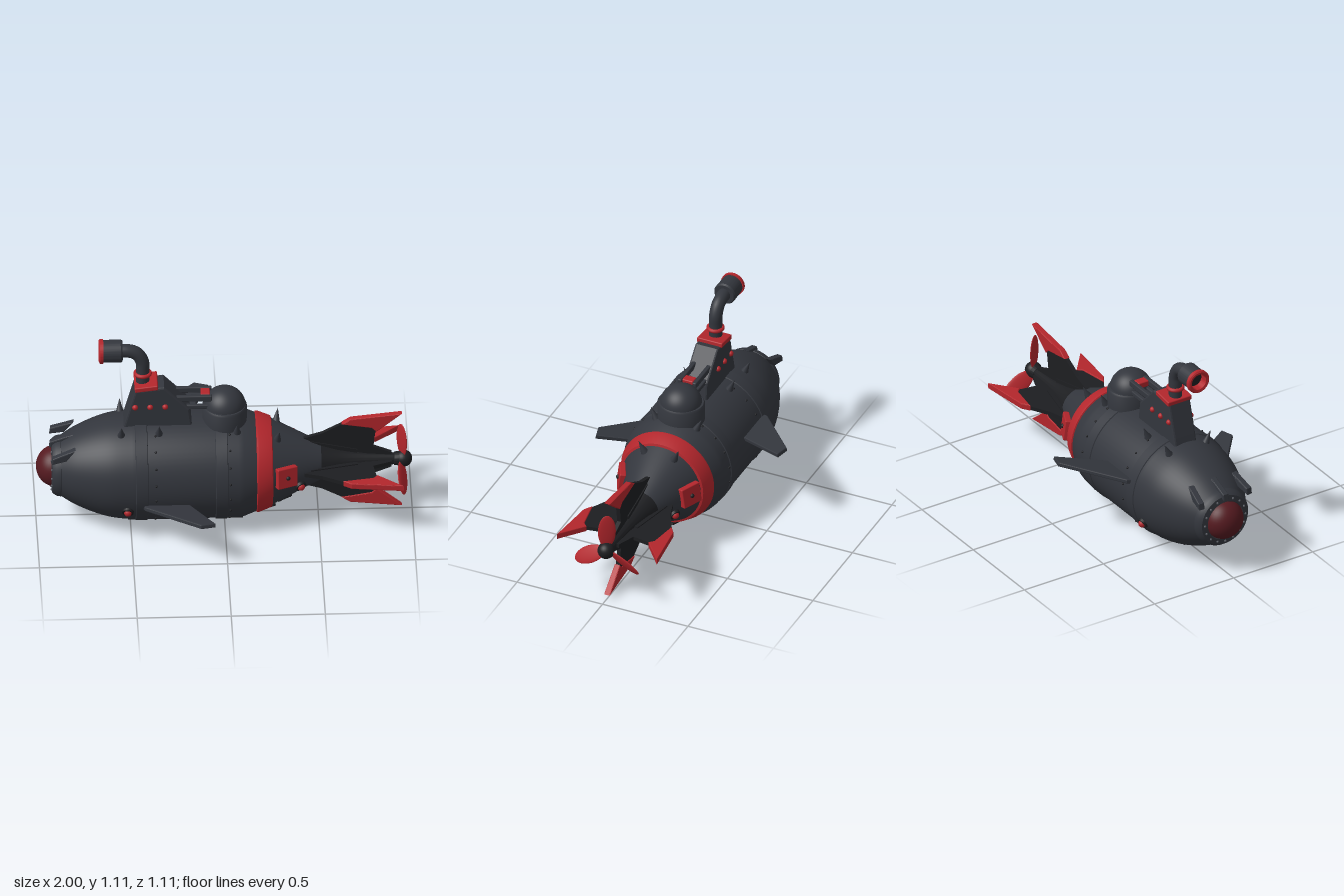
import * as THREE from 'three';
import { RoundedBoxGeometry } from 'three/addons/geometries/RoundedBoxGeometry.js';
import { toCreasedNormals } from 'three/addons/utils/BufferGeometryUtils.js';

const paint = (color, side = THREE.FrontSide) => new THREE.MeshStandardMaterial({ color, side });
const dark = paint(0x33363d), black = paint(0x1d1e21), red = paint(0xb3262c), glass = paint(0x551a20);
const steel = paint(0x55585f), darkOpen = paint(0x33363d, THREE.DoubleSide);
const AXIS = 0.325;

function add(parent, name, geo, mat, x = 0, y = 0, z = 0) {
  const m = new THREE.Mesh(geo, mat);
  m.name = name;
  m.position.set(x, y, z);
  parent.add(m);
  return m;
}

// solid of revolution about the x axis, from [x, radius] pairs
function turned(pairs, crease = 0.5) {
  const g = new THREE.LatheGeometry(pairs.map(([x, r]) => new THREE.Vector2(r, x)), 64);
  g.rotateZ(-Math.PI / 2);
  return toCreasedNormals(g, crease);
}

// flat plate in the xy plane, centred on z = 0
function plate(points, depth, bevel = 0) {
  const shape = new THREE.Shape(points.map(p => new THREE.Vector2(...p)));
  const g = new THREE.ExtrudeGeometry(shape, { depth: depth - 2 * bevel, bevelEnabled: bevel > 0,
    bevelSize: bevel, bevelThickness: bevel, bevelOffset: -bevel, bevelSegments: 2 });
  return g.translate(0, 0, -depth / 2 + bevel);
}

// radius of the hull at x
const TAPER = [[-0.88, 0.155], [-0.8, 0.205], [-0.7, 0.25], [-0.6, 0.28], [-0.48, 0.295], [0.08, 0.295],
  [0.17, 0.262], [0.25, 0.232], [0.44, 0.137], [0.52, 0.1]];
function hullRadius(x) {
  const i = Math.max(1, TAPER.findIndex(p => p[0] >= x));
  const [a, b] = [TAPER[i - 1], TAPER[i]];
  return a[1] + (b[1] - a[1]) * (x - a[0]) / (b[0] - a[0]);
}

// group on the hull surface: local y points outward, angle measured from the top towards +z
function onHull(parent, name, x, angle, lift = 0) {
  const g = new THREE.Group(), slope = (hullRadius(x + 0.02) - hullRadius(x - 0.02)) / 0.04;
  const r = hullRadius(x) + lift;
  g.name = name;
  g.position.set(x, r * Math.cos(angle), r * Math.sin(angle));
  g.rotation.set(angle, 0, Math.atan(slope));
  parent.add(g);
  return g;
}

function buildHull(h) {
  const nose = new THREE.SplineCurve(TAPER.slice(0, 5).map(p => new THREE.Vector2(...p))).getPoints(20);
  add(h, 'hull', turned([...nose.map(p => [p.x, p.y]), [0.07, 0.295], [0.1, 0.29], ...TAPER.slice(6)], 0.35), dark);
  add(h, 'tailCone', turned([[0.51, 0.104], [0.6, 0.075], [0.75, 0.045], [0.94, 0.028]]), black);
  for (const x of [-0.445, -0.02])
    add(h, 'hullBand', turned([[x - 0.036, 0.29], [x - 0.03, 0.3], [x + 0.03, 0.3], [x + 0.036, 0.29]], 1), dark);
  add(h, 'redBand', turned([[0.165, 0.26], [0.17, 0.27], [0.18, 0.27], [0.25, 0.243], [0.255, 0.225]]), red);

  // window and its bolted frame
  add(h, 'noseRing', turned([[-0.905, 0.1], [-0.92, 0.112], [-0.915, 0.145], [-0.895, 0.16], [-0.87, 0.165],
    [-0.86, 0.155]]), dark);
  add(h, 'noseWindow', new THREE.SphereGeometry(1, 40, 24), glass, -0.9).scale.set(0.1, 0.11, 0.11);
  for (let i = 0; i < 16; i++) {
    const a = i / 16 * Math.PI * 2;
    add(h, 'frameBolt', new THREE.SphereGeometry(0.007, 8, 6), steel, -0.918, 0.128 * Math.cos(a), 0.128 * Math.sin(a));
  }
  // three-fingered hood above the window
  for (const z of [-0.04, 0, 0.04]) {
    const f = add(h, 'noseHood', plate([[-0.93, 0.125], [-0.925, 0.16], [-0.85, 0.187], [-0.8, 0.205],
      [-0.85, 0.14]], 0.036, 0.006), dark, 0, z ? -0.012 : 0, z);
    f.rotation.y = z * 3;
  }

  // rivet rows and spikes
  for (const x of [-0.37, 0.025])
    for (let i = 0; i < 20; i++)
      add(onHull(h, 'hullRivet', x, (i + 0.5) / 20 * Math.PI * 2), 'rivetHead', new THREE.SphereGeometry(0.007, 8, 6), black);
  for (const x of [-0.55, -0.35, 0.065, 0.28])
    for (const s of [-1, 1]) {
      const g = onHull(h, 'spike', x, s * 0.42);
      g.rotation.z = x > 0.2 ? -0.15 : 0;
      add(g, 'spikeCone', new THREE.ConeGeometry(0.024, 0.085, 20), dark, 0, 0.028);
    }

  for (const s of [-1, 1]) {
    // bolted side hatches
    const hatch = onHull(h, 'sideHatch', 0.325, s * 1.43, 0.008);
    add(hatch, 'hatchPlate', new RoundedBoxGeometry(0.12, 0.035, 0.115, 2, 0.006), red);
    add(hatch, 'hatchBolt', new THREE.SphereGeometry(0.012, 12, 8), black, 0, 0.018);
    // red side lamps
    for (const [x, a] of [[-0.52, 2.03], [0.4, 2.0]]) {
      const lamp = onHull(h, 'sideLamp', x, s * a);
      add(lamp, 'lampRim', new THREE.CylinderGeometry(0.03, 0.032, 0.02, 20), black, 0, 0.002);
      add(lamp, 'lampGlass', new THREE.SphereGeometry(0.021, 16, 12), red, 0, 0.009);
    }
  }

  // studded keel plates
  for (let i = 0; i < 11; i++) {
    const x = -0.56 + i * 0.088, k = onHull(h, 'keel', x, Math.PI, 0.006);
    add(k, 'keelPlate', new THREE.BoxGeometry(0.082, 0.012, i % 2 ? 0.15 : 0.11), black);
    for (const dx of [-0.028, 0.028])
      for (const dz of [-0.042, 0.042])
        add(k, 'keelStud', new THREE.SphereGeometry(0.009, 8, 6), steel, dx, 0.006, dz);
  }
}

function buildFins(h) {
  // swept diving planes, staggered in height
  for (const [s, y] of [[1, 0.184], [-1, 0.364]]) {
    const fin = add(h, 'divingPlane', plate([[-0.45, 0.25], [-0.43, 0.31], [-0.14, 0.56], [-0.065, 0.54],
      [-0.19, 0.29], [-0.19, 0.25]], 0.024, 0.005), dark, 0, y - AXIS, 0);
    fin.rotation.x = s * (Math.PI / 2 - 0.17);
  }
  // cross of tail fins with red tips
  for (let i = 0; i < 4; i++) {
    const g = new THREE.Group();
    g.name = 'tailFin';
    g.rotation.x = i * Math.PI / 2;
    h.add(g);
    add(g, 'finBlade', plate([[0.42, 0.02], [0.42, 0.145], [0.52, 0.175], [0.66, 0.25], [0.82, 0.21], [0.805, 0.18],
      [0.79, 0.085], [0.89, 0.045], [0.89, 0.01]], 0.022), black);
    add(g, 'finTip', plate([[0.625, 0.232], [0.67, 0.263], [0.945, 0.292], [0.81, 0.18], [0.785, 0.205]], 0.034, 0.005), red);
    add(g, 'finRib', new THREE.BoxGeometry(0.3, 0.03, 0.034), black, 0.56, 0.09).rotation.z = -0.22;
  }
}

function buildPropeller(h) {
  const p = new THREE.Group();
  p.name = 'propeller';
  p.position.x = 0.945;
  h.add(p);
  add(p, 'hub', new THREE.SphereGeometry(0.046, 24, 16), black, 0.009);
  add(p, 'hubCollar', turned([[-0.05, 0.024], [-0.04, 0.036], [0, 0.04]]), black);
  for (let i = 0; i < 3; i++) {
    const arm = new THREE.Group();
    arm.name = 'propellerArm';
    arm.rotation.x = i * Math.PI * 2 / 3;
    p.add(arm);
    const b = add(arm, 'propellerBlade', new THREE.SphereGeometry(1, 24, 16), red, 0, 0.115, 0);
    b.scale.set(0.009, 0.1, 0.048);
    b.rotation.y = 0.55;
  }
}

function buildTower(t) {
  add(t, 'tower', plate([[-0.54, 0.59], [-0.525, 0.65], [-0.475, 0.83], [-0.32, 0.85], [-0.185, 0.71],
    [-0.17, 0.59]], 0.136, 0.01), dark);
  for (const s of [-1, 1])
    for (const x of [-0.475, -0.395, -0.315])
      add(t, 'towerStud', new THREE.SphereGeometry(0.016, 14, 10), red, x, 0.73, s * 0.068);
  add(t, 'towerCap', new RoundedBoxGeometry(0.125, 0.028, 0.15, 2, 0.006), red, -0.415, 0.846).rotation.z = 0.12;

  // periscope
  const path = new THREE.CatmullRomCurve3([[-0.432, 0.84], [-0.432, 0.93], [-0.435, 0.98], [-0.465, 1.03], [-0.51, 1.048],
    [-0.57, 1.048]].map(([x, y]) => new THREE.Vector3(x, y, 0)));
  add(t, 'periscopePipe', new THREE.TubeGeometry(path, 32, 0.036, 24), dark);
  add(t, 'periscopeRing', new THREE.TorusGeometry(0.038, 0.011, 12, 32), red, -0.432, 0.904).rotation.x = Math.PI / 2;
  add(t, 'periscopeHead', turned([[-0.645, 0.05], [-0.645, 0.06], [-0.55, 0.062], [-0.54, 0.056], [-0.54, 0]]), dark, 0, 1.048);
  add(t, 'periscopeRim', turned([[-0.615, 0.042], [-0.663, 0.045], [-0.666, 0.058], [-0.66, 0.066], [-0.642, 0.066],
    [-0.642, 0.055]]), red, 0, 1.048);
  add(t, 'periscopeLens', new THREE.CylinderGeometry(0.05, 0.05, 0.01, 32), black, -0.615, 1.048).rotation.z = Math.PI / 2;

  // rails joining the tower to the turret
  for (const s of [-1, 1]) {
    add(t, 'upperRail', new RoundedBoxGeometry(0.21, 0.034, 0.024, 2, 0.006), dark, -0.17, 0.765, s * 0.043);
    add(t, 'lowerRail', new RoundedBoxGeometry(0.14, 0.026, 0.024, 2, 0.006), dark, -0.15, 0.713, s * 0.043);
  }
  add(t, 'railBlock', new RoundedBoxGeometry(0.05, 0.034, 0.064, 2, 0.006), red, -0.1, 0.765);

  // domed turret
  const base = [[0.118, 0.58], [0.118, 0.69], [0.112, 0.7], [0.1, 0.7]].map(p => new THREE.Vector2(...p));
  add(t, 'turretBase', toCreasedNormals(new THREE.LatheGeometry(base, 48), 0.9), darkOpen, 0.003).scale.z = 1.09;
  add(t, 'turretDome', new THREE.SphereGeometry(0.112, 48, 20, 0, Math.PI * 2, 0, Math.PI / 2), dark, 0.003, 0.69)
    .scale.y = 0.94;
}

export function createModel() {
  const model = new THREE.Group();
  model.name = 'submarine';
  const hull = new THREE.Group(), tower = new THREE.Group();
  hull.name = 'hullAssembly';
  hull.position.y = AXIS;
  tower.name = 'towerAssembly';
  model.add(hull, tower);
  buildHull(hull);
  buildFins(hull);
  buildPropeller(hull);
  buildTower(tower);
  return model;
}
